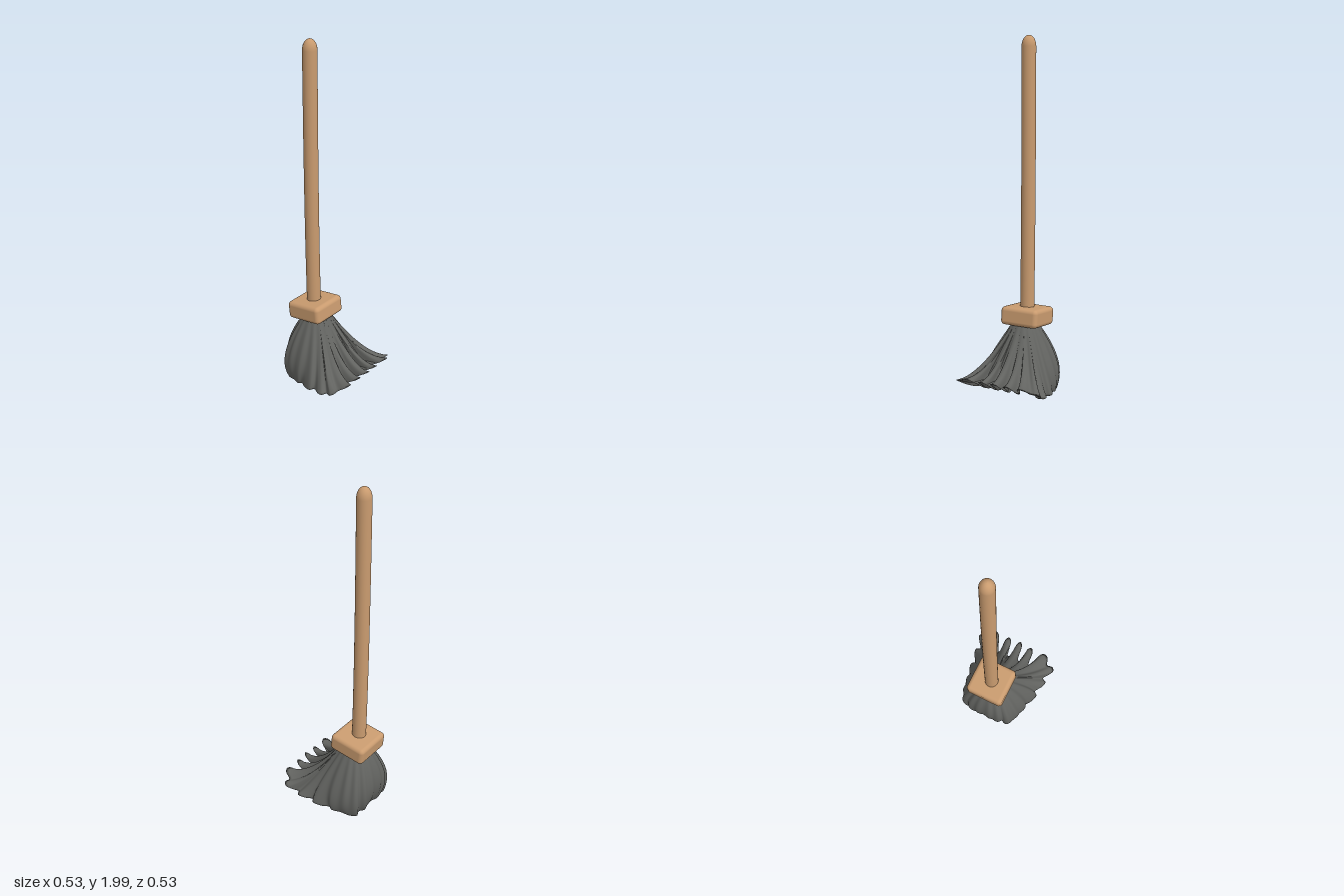
import * as THREE from 'three';
import { RoundedBoxGeometry } from 'three/addons/geometries/RoundedBoxGeometry.js';

const wood = new THREE.MeshStandardMaterial({ color: 0xc99b6f });
wood.name = 'wood';
const bristle = new THREE.MeshStandardMaterial({ color: 0x626360, side: THREE.DoubleSide });
bristle.name = 'bristleGrey';

// Half of the ragged hem as [x, z], from the front tip of the sweep round to the back
const HEM = [
  [0.267, 0], [0.252, 0.016], [0.17, 0.03], [0.17, 0.048], [0.25, 0.06], [0.262, 0.08], [0.245, 0.096],
  [0.17, 0.104], [0.17, 0.118], [0.25, 0.148], [0.263, 0.175], [0.25, 0.2], [0.215, 0.215], [0.217, 0.25],
  [0.2, 0.266], [0.172, 0.25], [0.137, 0.225], [0.122, 0.25], [0.09, 0.245], [0.038, 0.215], [0.022, 0.235],
  [-0.03, 0.22], [-0.07, 0.193], [-0.09, 0.203], [-0.14, 0.18], [-0.19, 0.165], [-0.225, 0.135],
  [-0.213, 0.1], [-0.23, 0.065], [-0.218, 0.02],
];

const hemHeight = (x) => 0.008 + 0.17 * (x + 0.22) + 0.5 * Math.max(0, x - 0.15);
const bend = (a, b, c, t) => {
  const s = 1 - t;
  return a.clone().multiplyScalar(s * s).addScaledVector(b, 2 * s * t).addScaledVector(c, t * t);
};
// Squared-off circle
const soft = (v) => Math.sign(v) * Math.abs(v) ** 0.8;

function bristleGeometry() {
  const half = HEM.map(([x, z]) => new THREE.Vector3(x, hemHeight(x), z));
  const mirrored = half.slice(1).reverse().map((p) => new THREE.Vector3(p.x, p.y, -p.z));
  const hem = new THREE.CatmullRomCurve3([...half, ...mirrored], true, 'centripetal');
  const cols = 300, outer = 18, inner = 10, rows = outer + inner;

  // Steadily growing angle of each column, equal on both sides
  const angles = [];
  let widest = 0;
  for (let i = 0; i <= cols / 2; i++) {
    const p = hem.getPoint(i / cols);
    widest = Math.max(widest + 0.001, Math.atan2(p.z, p.x + 0.1));
    angles[i] = i === 0 ? 0 : Math.min(widest, Math.PI);
    angles[cols - i] = 2 * Math.PI - angles[i];
  }

  const grid = [];
  for (let i = 0; i < cols; i++) {
    const tip = hem.getPoint(i / cols);
    const a = angles[i], c = Math.cos(a), s = Math.sin(a);
    const ripple = 1 + 0.045 * Math.cos(17 * a);
    const topX = -0.115 + 0.072 * c;
    const top = new THREE.Vector3(topX, 0.4 + 0.1 * (topX + 0.13), 0.068 * s);
    const belly = new THREE.Vector3(
      -0.11 + (c > 0 ? 0.25 : 0.215) * soft(c) * ripple, 0.14 - 0.03 * c, 0.232 * soft(s) * ripple);
    // Hollow underside
    const lip = new THREE.Vector3(-0.06 + (tip.x + 0.06) * 0.75, Math.max(0.005, tip.y - 0.055), tip.z * 0.78);
    const roof = new THREE.Vector3(-0.06 + 0.01 * c, 0.15, 0.01 * s);
    const column = [];
    for (let j = 0; j <= outer; j++) column.push(bend(top, belly, tip, j / outer));
    for (let j = 1; j <= inner; j++) column.push(bend(tip, lip, roof, j / inner));
    grid.push(column);
  }

  const positions = [], index = [];
  for (let j = 0; j <= rows; j++) {
    for (let i = 0; i < cols; i++) {
      positions.push(...grid[i][j].toArray());
      if (j === rows) continue;
      const n = (i + 1) % cols;
      const p = j * cols + i, q = j * cols + n;
      index.push(p, q, p + cols, q, q + cols, p + cols);
    }
  }
  // Close the roof of the hollow
  const centre = positions.length / 3;
  positions.push(-0.06, 0.15, 0);
  for (let i = 0; i < cols; i++) index.push(rows * cols + i, rows * cols + (i + 1) % cols, centre);

  const geometry = new THREE.BufferGeometry();
  geometry.setAttribute('position', new THREE.Float32BufferAttribute(positions, 3));
  geometry.setIndex(index);
  geometry.computeVertexNormals();
  return geometry;
}

function handleGeometry() {
  const r = 0.04, base = 0.43, shoulder = 1.94;
  const profile = [];
  for (let i = 0; i < 14; i++) profile.push(new THREE.Vector2(r, base + (shoulder - base) * i / 14));
  for (let i = 0; i <= 8; i++) {
    const a = (i / 8) * Math.PI / 2;
    profile.push(new THREE.Vector2(i === 8 ? 0 : r * Math.cos(a), shoulder + 0.06 * Math.sin(a)));
  }
  const geometry = new THREE.LatheGeometry(profile, 32);
  // Gentle bend towards the foot
  const pos = geometry.attributes.position;
  for (let i = 0; i < pos.count; i++) {
    const t = (2 - pos.getY(i)) / 1.57;
    pos.setX(i, pos.getX(i) - 0.148 + 0.014 * t ** 3);
  }
  return geometry;
}

export function createModel() {
  const broom = new THREE.Group();
  broom.name = 'broom';
  const add = (name, geometry, material) => {
    const mesh = new THREE.Mesh(geometry, material);
    mesh.name = name;
    broom.add(mesh);
    return mesh;
  };

  add('handle', handleGeometry(), wood);

  // Tilted block that holds the bristles
  const block = add('block', new RoundedBoxGeometry(0.225, 0.104, 0.23, 5, 0.024), wood);
  block.position.set(-0.129, 0.436, -0.004);
  block.rotation.z = 0.11;

  add('bristles', bristleGeometry(), bristle);
  return broom;
}
